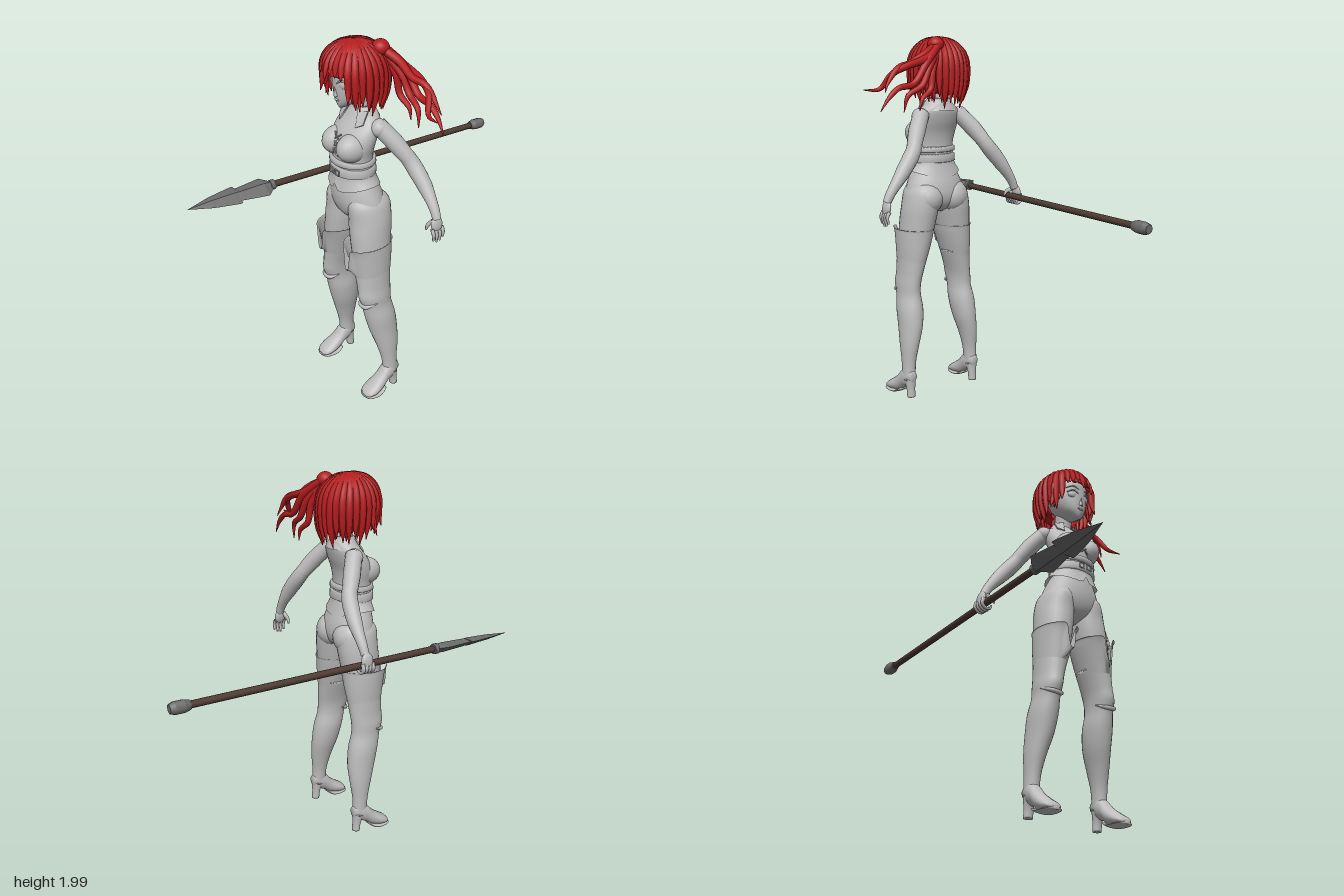
import * as THREE from 'three';

const mat = (name, color) => new THREE.MeshStandardMaterial({ name, color, side: THREE.DoubleSide });
const V = (p) => new THREE.Vector3(...p);

// Smooth (or straight) interpolation through the rows of a cross-section list
function refine(rows, sub) {
  const out = [];
  for (let i = 0; i < rows.length - 1; i++) {
    const [p0, p1, p2, p3] = [rows[Math.max(i - 1, 0)], rows[i], rows[i + 1], rows[Math.min(i + 2, rows.length - 1)]];
    for (let s = 0; s < sub; s++) {
      const t = s / sub;
      out.push(p1.map((b, k) => {
        const m1 = (p2[k] - p0[k]) / 2, m2 = (p3[k] - b) / 2, d = p2[k] - b;
        return b + m1 * t + (3 * d - 2 * m1 - m2) * t * t + (m1 + m2 - 2 * d) * t * t * t;
      }));
    }
  }
  out.push(rows[rows.length - 1]);
  return out;
}

// Rows from bottom to top: [y, centre x, half width, front z, back z]
function loft(rows, { seg = 28, sub = 4, caps = true, rule } = {}) {
  const rings = sub > 1 ? refine(rows, sub) : rows, pos = [], idx = [];
  for (const [y, cx, rx, zf, zb] of rings) {
    for (let j = 0; j < seg; j++) {
      const a = (j / seg) * Math.PI * 2;
      const v = new THREE.Vector3(cx + rx * Math.sin(a), y, (zf + zb) / 2 + ((zf - zb) / 2) * Math.cos(a));
      if (rule) rule(v, a);
      pos.push(v.x, v.y, v.z);
    }
  }
  const n = rings.length;
  for (let i = 0; i < n - 1; i++) for (let j = 0; j < seg; j++) {
    const a = i * seg + j, b = i * seg + ((j + 1) % seg);
    idx.push(a, b, b + seg, a, b + seg, a + seg);
  }
  if (caps) for (const [r, up] of [[0, false], [n - 1, true]]) {
    const [y, cx, , zf, zb] = rings[r], c = pos.length / 3;
    pos.push(cx, y, (zf + zb) / 2);
    for (let j = 0; j < seg; j++) {
      const a = r * seg + j, b = r * seg + ((j + 1) % seg);
      up ? idx.push(c, a, b) : idx.push(c, b, a);
    }
  }
  const g = new THREE.BufferGeometry();
  g.setAttribute('position', new THREE.Float32BufferAttribute(pos, 3));
  g.setIndex(idx);
  g.computeVertexNormals();
  return g;
}

// Tube through points whose radius follows a list
function sweep(points, radii, n = 14, m = 8) {
  const curve = new THREE.CatmullRomCurve3(points.map(V));
  const g = new THREE.TubeGeometry(curve, n, 1, m), p = g.attributes.position, v = new THREE.Vector3();
  for (let i = 0; i <= n; i++) {
    const c = curve.getPointAt(i / n), f = (i / n) * (radii.length - 1), k = Math.min(Math.floor(f), radii.length - 2);
    const r = radii[k] + (radii[k + 1] - radii[k]) * (f - k);
    for (let j = 0; j <= m; j++) {
      const q = i * (m + 1) + j;
      v.fromBufferAttribute(p, q).sub(c).multiplyScalar(r).add(c);
      p.setXYZ(q, v.x, v.y, v.z);
    }
  }
  return g;
}

export function createModel() {
  const root = new THREE.Group();
  const grey = mat('bodyGrey', 0xbcbcbc), red = mat('hairRed', 0xb41c1e);
  const brown = mat('shaftBrown', 0x4e3b32), metal = mat('metalGrey', 0x6c6c6c);
  const add = (name, geo, m = grey, parent = root) => {
    const mesh = new THREE.Mesh(geo, m);
    mesh.name = name;
    parent.add(mesh);
    return mesh;
  };
  const ball = (name, p, s, m = grey) => {
    const b = add(name, new THREE.SphereGeometry(1, 20, 14), m);
    b.position.set(...p);
    b.scale.set(...s);
    return b;
  };

  // Torso: vest with a notched hem, pelvis, neck
  add('vest', loft([
    [1.235, 0, .155, .375, .135], [1.3, 0, .132, .36, .155], [1.36, 0, .122, .355, .165], [1.42, 0, .124, .355, .168],
    [1.48, 0, .137, .35, .16], [1.54, 0, .14, .325, .14], [1.595, 0, .125, .28, .128], [1.635, 0, .08, .25, .132], [1.655, 0, .05, .235, .14],
  ], { seg: 48, caps: false, rule: (v, a) => {
    const k = Math.max(0, (1.31 - v.y) / 0.075);
    v.y += k * (0.035 * Math.sin(a) ** 2 + (Math.cos(a) > 0 ? 0.035 * Math.exp(-((v.x / 0.015) ** 2)) : 0));
  } }));
  add('pelvis', loft([
    [1.04, 0, .05, .27, .19], [1.075, 0, .13, .325, .14], [1.13, 0, .18, .352, .12], [1.2, 0, .166, .36, .128], [1.29, 0, .125, .35, .16],
  ]));
  add('neck', loft([[1.58, 0, .06, .26, .14], [1.65, 0, .046, .24, .145], [1.74, 0, .046, .26, .15]]));
  for (const [y0, y1, name] of [[1.315, 1.362, 'wideBelt'], [1.372, 1.402, 'narrowBelt']]) {
    add(name, loft([[y0, 0, .125, .362, .158], [y0 + .004, 0, .133, .372, .15], [y1 - .004, 0, .131, .37, .15], [y1, 0, .123, .36, .16]], { sub: 1, seg: 40 }));
  }
  for (const x of [-.024, .024]) {
    const b = add('buckle', new THREE.TorusGeometry(.02, .004, 6, 4).rotateZ(Math.PI / 4));
    b.position.set(x, 1.338, .372);
  }
  // Shirt collar and chest lacing
  const collar = new THREE.LatheGeometry([[.05, 1.62], [.058, 1.668], [.07, 1.66], [.104, 1.6]].map((p) => new THREE.Vector2(...p)), 32, .55, Math.PI * 2 - 1.1);
  add('collar', collar.scale(1, 1, .8)).position.z = .2;
  for (let i = 0; i < 3; i++) for (const s of [-1, 1]) {
    const y = 1.425 + i * .038, z = .362 - i * .008;
    add('lace', sweep([[-s * .026, y, z], [0, y + .019, z + .005], [s * .026, y + .038, z - .006]], [.004, .004], 6, 5));
  }

  // Head and face
  add('head', loft([
    [1.672, 0, .012, .328, .285], [1.69, 0, .037, .338, .235], [1.72, 0, .066, .345, .19], [1.77, 0, .09, .35, .14],
    [1.83, 0, .1, .352, .11], [1.89, 0, .1, .35, .1], [1.94, 0, .075, .32, .13], [1.965, 0, .02, .25, .2],
  ], { seg: 36 }));
  const nose = add('nose', new THREE.ConeGeometry(.014, .05, 8));
  nose.position.set(0, 1.762, .35);
  nose.rotation.x = .25;
  ball('lips', [0, 1.716, .343], [.018, .006, .007]);

  for (const s of [-1, 1]) {
    ball('eye', [s * .045, 1.8, .331], [.027, .021, .012]).rotation.y = s * .35;
    add('eyelid', sweep([[s * .017, 1.806, .35], [s * .045, 1.824, .343], [s * .076, 1.812, .318]], [.003, .005, .003], 8, 6));
    add('brow', sweep([[s * .017, 1.834, .354], [s * .05, 1.847, .345], [s * .08, 1.838, .318]], [.002, .004, .002], 8, 6));
    ball('ear', [s * .102, 1.785, .23], [.012, .035, .022]);
    ball('bust', [s * .064, 1.472, .302], [.068, .074, .088]);
    ball('buttock', [s * .082, 1.12, .19], [.088, .09, .085]);

    // Pointed lapel
    const lapel = new THREE.Shape([[0, 0], [.045, .015], [.055, -.055], [.02, -.085]].map(([x, y]) => new THREE.Vector2(s * x, y)));
    const flap = add('lapel', new THREE.ExtrudeGeometry(lapel, { depth: .008, bevelEnabled: false }));
    flap.position.set(s * .045, 1.645, .24);
    flap.rotation.set(-.62, s * .3, 0);

    // Leg, covered by a tall boot
    const leg = [
      [.1, s * .217, .036, .235, .152], [.2, s * .214, .038, .243, .152], [.3, s * .204, .05, .268, .14], [.4, s * .188, .063, .298, .135],
      [.5, s * .18, .069, .322, .145], [.58, s * .176, .06, .337, .164], [.64, s * .173, .061, .356, .165], [.7, s * .163, .064, .355, .16],
      [.8, s * .145, .078, .358, .15],
    ];
    add('lowerBoot', loft(leg));
    add('thigh', loft([
      [.76, s * .15, .068, .35, .16], [.88, s * .132, .086, .355, .142], [1, s * .115, .096, .355, .125],
      [1.08, s * .104, .098, .35, .116], [1.16, s * .097, .085, .35, .12], [1.2, s * .09, .06, .33, .15],
    ]));
    add('bootCuff', loft([
      [.77, s * .15, .073, .357, .153], [.84, s * .14, .085, .37, .142], [.91, s * .13, .096, .385, .134], [.945, s * .126, .1, .398, .13], [.952, s * .126, .104, .404, .126],
    ], { seg: 72, caps: false, rule: (v, a) => {
      const d = Math.atan2(Math.sin(a), Math.cos(a));
      const cut = 1 / (1 + (Math.abs(d) / .2) ** 8);
      v.y = .77 + (v.y - .77) * (1 - .72 * cut);
    } }));
    add('kneeFold', sweep([[s * .118, .61, .29], [s * .15, .592, .338], [s * .2, .595, .338], [s * .234, .615, .28]], [.003, .012, .012, .003]));

    // Heeled foot, lofted along z
    add('foot', loft([
      [.148, s * .216, .022, -.095, -.15], [.19, s * .217, .037, -.06, -.175], [.23, s * .218, .041, -.042, -.155], [.27, s * .22, .046, -.014, -.11],
      [.32, s * .222, .053, -.003, -.072], [.36, s * .222, .044, -.004, -.046], [.378, s * .222, .018, -.01, -.026],
    ]).rotateX(Math.PI / 2));
    add('sole', loft([
      [.25, s * .22, .042, -.018, -.032], [.28, s * .221, .052, 0, -.018], [.32, s * .222, .058, 0, -.014], [.365, s * .222, .046, 0, -.016], [.381, s * .222, .018, -.004, -.018],
    ]).rotateX(Math.PI / 2));
    add('heel', loft([[0, s * .217, .024, .193, .15], [.05, s * .217, .025, .2, .152], [.11, s * .217, .034, .228, .148]]));

    // Arm with a seam at the elbow
    ball('shoulder', [s * .13, 1.57, .185], [.046, .046, .048]);
    add('upperArm', sweep([[s * .12, 1.585, .19], [s * .185, 1.5, .135], [s * .245, 1.405, .08]], [.044, .046, .038], 14, 16));
    add('forearm', sweep([[s * .225, 1.435, .095], [s * .25, 1.395, .078], [s * .33, 1.295, .058], [s * .405, 1.195, .055], [s * .428, 1.15, .057]], [.04, .043, .039, .028, .022], 18, 16));

    // Hand: the left hangs open, the right closes round the shaft
    const grip = s < 0;
    ball('palm', [s * (grip ? .444 : .428), 1.125, .058], [.017, .042, .034]).rotation.z = s * .15;
    for (let i = 0; i < 4; i++) {
      const z = .088 - i * .02, len = [.056, .068, .064, .05][i];
      const pts = grip
        ? [[-.448, 1.115, z], [-.457, 1.085, z], [-.435, 1.063, z], [-.405, 1.07, z], [-.4, 1.088, z]]
        : [[.43, 1.105, z], [.443, 1.105 - len * .5, z], [.438, 1.095 - len, z - .003]];
      add('finger', sweep(pts, [.0105, .0095, .005], 10, 7));
    }
    add('thumb', sweep(grip
      ? [[-.428, 1.14, .08], [-.4, 1.125, .095], [-.39, 1.1, .1]]
      : [[.42, 1.145, .075], [.397, 1.115, .09], [.388, 1.085, .092]], [.013, .011, .005], 8, 7));
  }

  // Hair: cap, overlapping locks fanning from the crown, wind-blown tail
  const cap = add('hairCap', new THREE.SphereGeometry(1, 32, 12, 0, Math.PI * 2, 0, Math.PI * .5), red);
  cap.position.set(-.015, 1.85, .225);
  cap.scale.set(.14, .135, .165);
  const nape = add('hairBack', new THREE.SphereGeometry(1, 24, 10, Math.PI, Math.PI, Math.PI * .4, Math.PI * .45), red);
  nape.position.set(-.015, 1.83, .21);
  nape.scale.set(.135, .16, .14);
  for (let layer = 0; layer < 2; layer++) for (let i = 0; i < 30; i++) {
    const a = ((i + layer * .5) / 30) * Math.PI * 2 - Math.PI, b = Math.abs(a);
    const wob = Math.sin(i * 2.4 + layer * 1.7);
    const end = (b < .75 ? 1.845 : b < 1.45 ? 1.7 : 1.655) + wob * .022 - (b > 2.6 ? .02 : 0) + layer * .02;
    const out = 1 - layer * .06;
    const at = (f, y) => [-.017 + Math.sin(a) * .143 * f * out, y, .225 + Math.cos(a) * .163 * f * out];
    const low = 1.86 + (end - 1.86) * .5;
    const tip = b < .75 ? 1.03 : b < 1.45 ? 1.04 + wob * .08 : .93 + wob * .07;
    add('hairLock', sweep([at(.05, 1.982), at(.5, 1.962), at(.84, 1.915), at(1, 1.86), at(1.03, low), at(tip, end)],
      [.012, .018, .022, .021, .017, .002], 16, 7), red);
  }
  for (const s of [-1, 1]) {
    add('sideLock', sweep([[s * .1 - .02, 1.9, .3], [s * .13 - .02, 1.82, .3], [s * .132 - .02, 1.75, .29], [s * .148 - .025, 1.68, .295]], [.02, .02, .014, .002], 14, 7), red);
  }
  ball('tailKnot', [.065, 1.95, .13], [.045, .04, .045], red);
  const tails = [
    [[.06, 1.95, .12], [.16, 1.88, .07], [.29, 1.84, .06], [.37, 1.8, .08], [.42, 1.725, .12], [.505, 1.722, .135]],
    [[.06, 1.95, .11], [.17, 1.86, .06], [.26, 1.75, .05], [.35, 1.73, .05], [.41, 1.68, .05], [.455, 1.615, .055]],
    [[.06, 1.94, .12], [.15, 1.83, .07], [.2, 1.74, .06], [.28, 1.69, .07], [.3, 1.605, .08]],
    [[.06, 1.94, .12], [.12, 1.82, .08], [.14, 1.72, .07], [.2, 1.67, .06], [.215, 1.61, .06]],
    [[.06, 1.95, .13], [.16, 1.9, .09], [.26, 1.85, .09], [.34, 1.83, .07], [.41, 1.75, .06], [.43, 1.71, .05]],
  ];
  for (const t of tails) add('tailLock', sweep(t, [.02, .023, .019, .017, .014, .002], 28, 8), red);

  // Spear, modelled along z and tilted into the hand
  const spear = new THREE.Group();
  spear.name = 'spear';
  spear.position.set(-.4225, 1.098, 0);
  spear.rotation.set(-.015, -.033, 0);
  root.add(spear);
  const rod = (name, r0, r1, z0, z1, n, m) => {
    const g = new THREE.CylinderGeometry(r1, r0, z1 - z0, n).rotateX(Math.PI / 2).translate(0, 0, (z0 + z1) / 2);
    return add(name, g, m, spear);
  };
  rod('shaft', .018, .018, -.92, .52, 12, brown);
  rod('buttTaper', .024, .033, -.98, -.955, 8, metal);
  rod('butt', .033, .033, -.955, -.91, 8, metal);
  rod('buttNeck', .033, .024, -.91, -.88, 8, metal);
  rod('collarRing', .028, .028, .485, .51, 12, metal);
  rod('socket', .022, .018, .51, .54, 10, metal);
  const blade = (name, rows) => {
    const g = loft(rows.map(([z, w, t]) => [z, 0, w, t, -t]), { seg: 4, sub: 1 }).toNonIndexed();
    g.computeVertexNormals();
    add(name, g.rotateX(Math.PI / 2), metal, spear).rotation.z = -.3;
  };
  blade('rearBlade', [[.505, .034, .024], [.545, .07, .026], [.71, .046, .019]]);
  blade('frontBlade', [[.7, .066, .021], [.72, .066, .021], [.85, .042, .014], [.98, .001, .001]]);
  return root;
}
